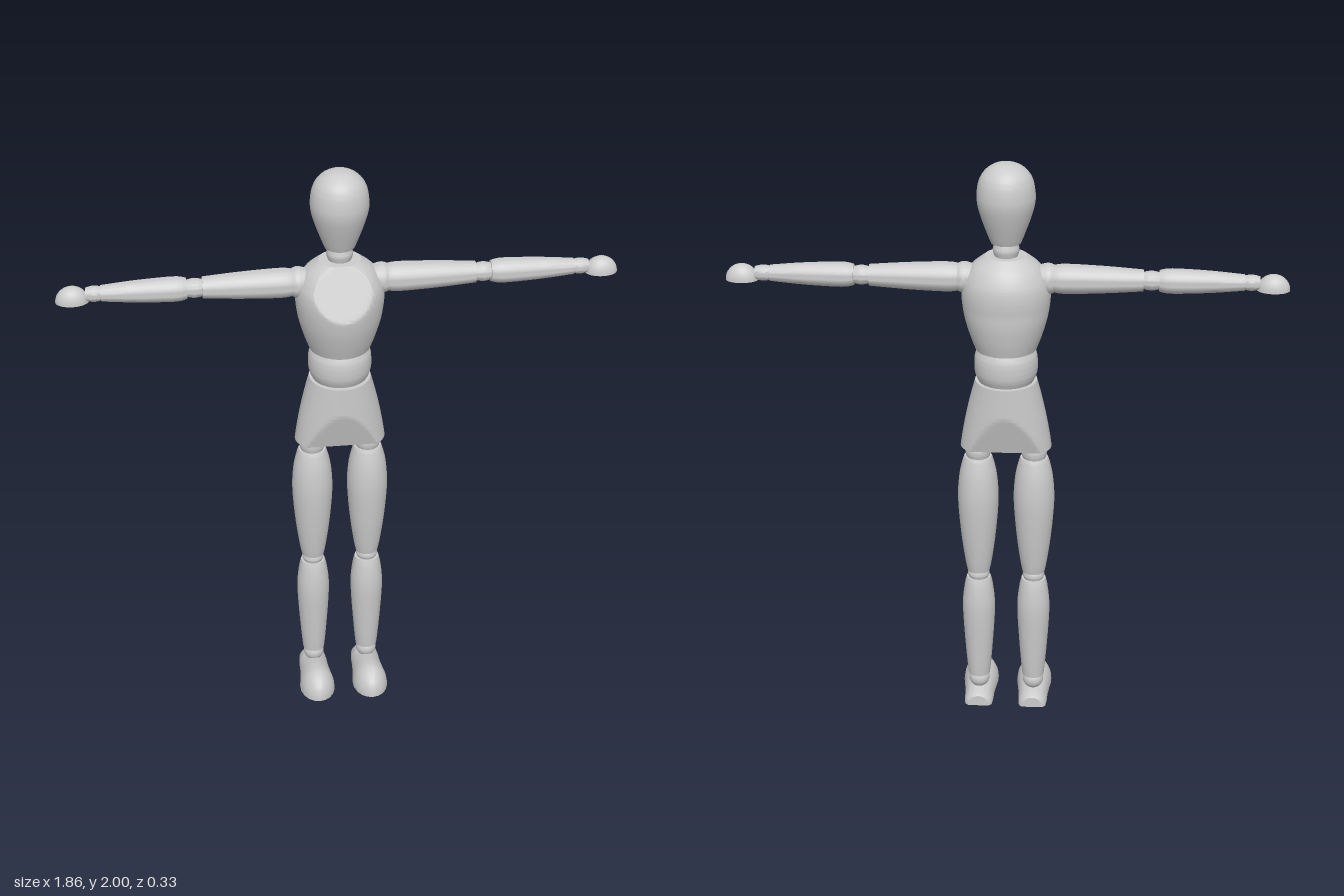
import * as THREE from 'three';
import { toCreasedNormals } from 'three/addons/utils/BufferGeometryUtils.js';

const material = new THREE.MeshStandardMaterial({ color: 0xcccccc });
const AXIS_Z = -0.037;

function part(parent, name, geometry, x = 0, y = 0, z = 0) {
  const mesh = new THREE.Mesh(geometry, material);
  mesh.name = name;
  mesh.position.set(x, y, z);
  parent.add(mesh);
  return mesh;
}

// Turned solid: smooth curve through [radius, height] points, flat ends,
// optionally reshaped by a rule on each vertex.
function turned(points, { steps = 20, sides = 32, reshape } = {}) {
  const curve = new THREE.SplineCurve(points.map(([r, y]) => new THREE.Vector2(r, y)));
  const profile = curve.getPoints(steps);
  profile.unshift(new THREE.Vector2(0, points[0][1]));
  profile.push(new THREE.Vector2(0, points[points.length - 1][1]));
  profile.forEach((p) => { p.x = Math.max(p.x, 0); });
  const geometry = new THREE.LatheGeometry(profile, sides);
  if (reshape) {
    const pos = geometry.attributes.position;
    const v = new THREE.Vector3();
    for (let i = 0; i < pos.count; i++) {
      v.fromBufferAttribute(pos, i);
      reshape(v);
      pos.setXYZ(i, v.x, v.y, v.z);
    }
  }
  return toCreasedNormals(geometry, 0.5);
}

// Foot: half-elliptical sections [z, half width, height] lofted from heel to toe.
function footGeometry() {
  const stations = [
    [-0.108, 0, 0], [-0.108, 0.036, 0.038], [-0.098, 0.047, 0.045], [-0.06, 0.051, 0.05],
    [-0.02, 0.052, 0.06], [0.03, 0.057, 0.074], [0.07, 0.062, 0.083], [0.1, 0.061, 0.084],
    [0.13, 0.051, 0.073], [0.15, 0.036, 0.056], [0.161, 0.02, 0.036], [0.165, 0, 0],
  ];
  const n = 20;
  const ring = n + 2;
  const positions = [];
  const index = [];
  for (const [z, w, h] of stations) {
    for (let j = 0; j <= n; j++) {
      const t = (j / n) * Math.PI;
      positions.push(w * Math.cos(t), h * Math.sin(t), z);
    }
    positions.push(w, 0, z);
  }
  for (let i = 0; i < stations.length - 1; i++) {
    for (let j = 0; j < ring - 1; j++) {
      const a = i * ring + j;
      index.push(a, a + 1, a + ring + 1, a, a + ring + 1, a + ring);
    }
  }
  const geometry = new THREE.BufferGeometry();
  geometry.setAttribute('position', new THREE.Float32BufferAttribute(positions, 3));
  geometry.setIndex(index);
  return toCreasedNormals(geometry, 0.75);
}

// Short rounded joint between two turned parts.
const joint = (y0, y1, r) => turned([[r * 0.8, y0], [r, (y0 + y1) / 2], [r * 0.8, y1]], { steps: 10 });

function buildBody(model) {
  const body = new THREE.Group();
  body.name = 'body';
  body.position.z = AXIS_Z;
  model.add(body);

  part(body, 'head', turned([
    [0.05, 1.73], [0.06, 1.755], [0.08, 1.81], [0.094, 1.86], [0.096, 1.9],
    [0.087, 1.945], [0.066, 1.976], [0.035, 1.995], [0, 2],
  ], { steps: 36 }));
  part(body, 'neck', joint(1.675, 1.737, 0.044));

  // Chest: shallower at the back, with a slanted flat cut on the upper front
  part(body, 'chest', turned([
    [0.103, 1.36], [0.121, 1.41], [0.138, 1.47], [0.147, 1.53], [0.147, 1.575],
    [0.138, 1.61], [0.113, 1.65], [0.07, 1.685],
  ], {
    steps: 48,
    sides: 72,
    reshape: (v) => {
      const f = THREE.MathUtils.clamp((v.y - 1.36) / 0.15, 0, 1);
      if (v.z < 0) v.z *= 1 - 0.13 * f;
      v.z = Math.min(v.z, 0.147 - 0.494 * (v.y - 1.513));
    },
  }));

  part(body, 'waist', turned([[0.093, 1.243], [0.104, 1.27], [0.107, 1.302], [0.104, 1.335], [0.093, 1.362]]));

  // Pelvis: flares sideways, with slanted cuts at the lower front and back
  part(body, 'pelvis', turned([[0.11, 1], [0.11, 1.12], [0.11, 1.245]], {
    steps: 40,
    sides: 72,
    reshape: (v) => {
      const t = (1.245 - v.y) / 0.245;
      v.x *= (0.104 + 0.07 * t - 0.019 * t * t) / 0.11;
      const limit = 0.068 + 0.3 * (v.y - 1);
      v.z = THREE.MathUtils.clamp(v.z, -limit, limit);
    },
  }));
}

function buildLeg(model, side, name) {
  const leg = new THREE.Group();
  leg.name = name;
  leg.position.set(side * 0.096, 0, AXIS_Z);
  model.add(leg);

  part(leg, 'hipJoint', joint(0.945, 1.01, 0.044));
  part(leg, 'thigh', turned([
    [0.039, 0.517], [0.047, 0.56], [0.059, 0.65], [0.068, 0.75], [0.07, 0.82],
    [0.064, 0.89], [0.053, 0.94], [0.047, 0.957],
  ], { steps: 28 }));
  part(leg, 'kneeJoint', joint(0.482, 0.525, 0.038));
  part(leg, 'shin', turned([
    [0.038, 0.1], [0.043, 0.15], [0.05, 0.24], [0.056, 0.34], [0.056, 0.4],
    [0.049, 0.46], [0.042, 0.49],
  ], { steps: 28 }));
  part(leg, 'ankleJoint', new THREE.SphereGeometry(0.036, 24, 16), 0, 0.08);
  part(leg, 'foot', footGeometry(), 0, 0, -AXIS_Z);
}

function buildArm(model, side, name) {
  const arm = new THREE.Group();
  arm.name = name;
  arm.position.set(0, 1.606, AXIS_Z);
  model.add(arm);

  // Turned parts lie along the arm, growing outward from the body
  const limb = new THREE.Group();
  limb.name = 'armSegments';
  limb.rotation.z = -side * Math.PI / 2;
  arm.add(limb);
  part(limb, 'shoulderJoint', turned([[0.042, 0.1], [0.051, 0.13], [0.05, 0.15], [0.038, 0.172]], { steps: 12 }));
  part(limb, 'upperArm', turned([[0.044, 0.153], [0.049, 0.18], [0.049, 0.23], [0.044, 0.34], [0.036, 0.452]]));
  part(limb, 'elbowJoint', joint(0.445, 0.51, 0.033));
  part(limb, 'forearm', turned([[0.035, 0.503], [0.041, 0.53], [0.041, 0.58], [0.036, 0.68], [0.027, 0.782]]));
  part(limb, 'wristJoint', joint(0.775, 0.832, 0.027));

  // Hand: half dome with a flat palm underneath
  const dome = [];
  for (let i = 0; i <= 8; i++) {
    const t = (i / 8) * Math.PI / 2;
    dome.push([Math.cos(t), Math.sin(t)]);
  }
  const hand = part(arm, 'hand', turned(dome, { steps: 16 }), side * 0.876, -0.024);
  hand.scale.set(0.055, 0.054, 0.04);
}

export function createModel() {
  const model = new THREE.Group();
  model.name = 'jointedFigure';
  buildBody(model);
  for (const [side, label] of [[1, 'left'], [-1, 'right']]) {
    buildLeg(model, side, label + 'Leg');
    buildArm(model, side, label + 'Arm');
  }
  return model;
}
